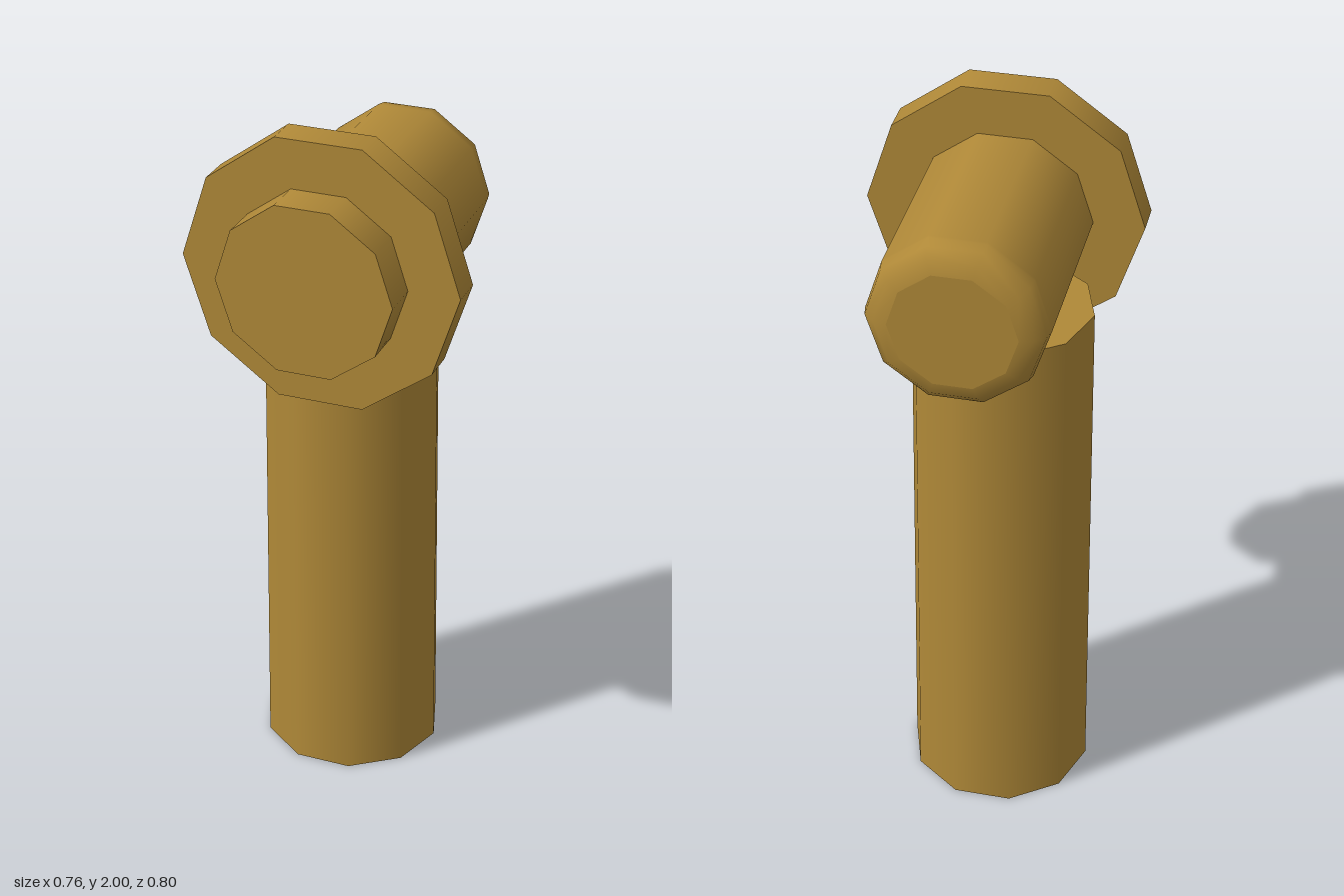
import * as THREE from 'three';

const SIDES = 10;
const AXIS_Y = 1.637; // height of the horizontal barrel

export function createModel() {
  const group = new THREE.Group();
  const brass = new THREE.MeshStandardMaterial({ color: 0xb08938 });
  brass.name = 'brass';

  const add = (name, geometry, x, y, z) => {
    const mesh = new THREE.Mesh(geometry, brass);
    mesh.name = name;
    mesh.position.set(x, y, z);
    group.add(mesh);
  };

  // Upright stem, slightly tapered, with corners on the x axis
  const stemHeight = 1.54;
  add('stem',
    new THREE.CylinderGeometry(0.244, 0.256, stemHeight, SIDES, 1, false, Math.PI / 2),
    -0.061, stemHeight / 2, -0.098);

  // Horizontal barrel with a rounded rear rim
  const profile = [
    [0.17, -0.4], [0.207, -0.391], [0.234, -0.366], [0.241, -0.335],
    [0.241, -0.325], [0.241, 0.4],
  ].map(([r, z]) => new THREE.Vector2(r, z));
  add('barrel',
    new THREE.LatheGeometry(profile, SIDES, Math.PI / 2).rotateX(Math.PI / 2),
    0, AXIS_Y, 0);

  // Flat ends of the barrel
  add('barrelFrontCap', new THREE.CircleGeometry(0.241, SIDES), 0, AXIS_Y, 0.4);
  add('barrelRearCap', new THREE.CircleGeometry(0.17, SIDES).rotateY(Math.PI), 0, AXIS_Y, -0.4);

  // Wide collar near the front
  add('collar',
    new THREE.CylinderGeometry(0.381, 0.381, 0.095, SIDES, 1, false, Math.PI / 2).rotateX(Math.PI / 2),
    0, AXIS_Y, 0.243);

  return group;
}
